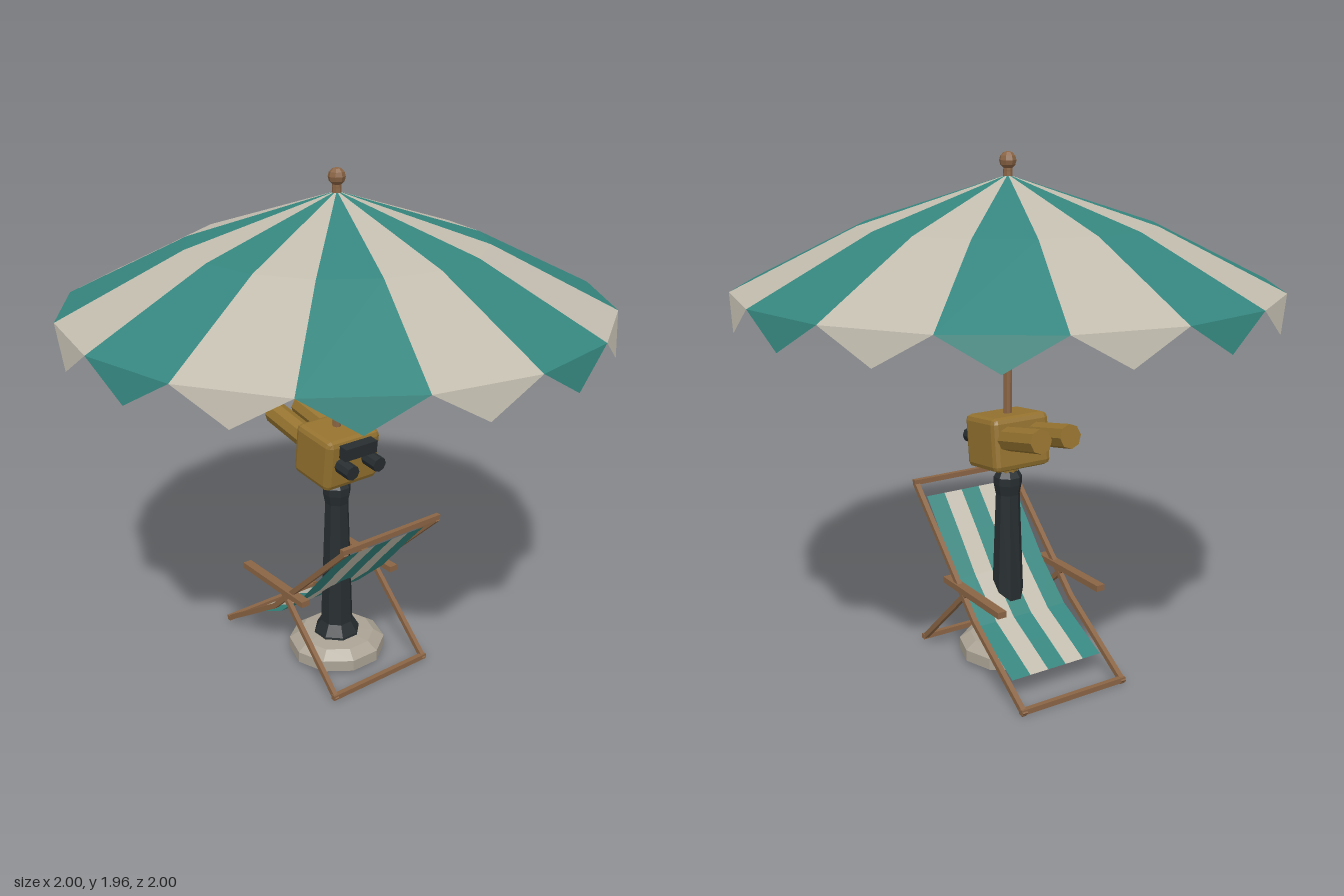
import * as THREE from 'three';
import { RoundedBoxGeometry } from 'three/addons/geometries/RoundedBoxGeometry.js';

const mat = (color, side = THREE.FrontSide) =>
  new THREE.MeshStandardMaterial({ color, side, flatShading: true });

export function createModel() {
  const root = new THREE.Group();
  const teal = mat(0x35857e, THREE.DoubleSide);
  const cream = mat(0xc2bcae, THREE.DoubleSide);
  const wood = mat(0x8a6444);
  const brass = mat(0x94722f);
  const iron = mat(0x272d30, THREE.DoubleSide);
  const stone = mat(0xaaa294, THREE.DoubleSide);

  const group = (name, parent = root) => {
    const g = new THREE.Group();
    g.name = name;
    parent.add(g);
    return g;
  };
  const add = (parent, name, geometry, material, x = 0, y = 0, z = 0) => {
    const m = new THREE.Mesh(geometry, material);
    m.name = name;
    m.position.set(x, y, z);
    parent.add(m);
    return m;
  };
  const lathe = (pts, sides, turn = 0) =>
    new THREE.LatheGeometry(pts.map(p => new THREE.Vector2(...p)), sides, turn);
  // Box beam running from point a to point b
  const beam = (parent, name, a, b, w, h) => {
    const p = new THREE.Vector3(...a), q = new THREE.Vector3(...b);
    const m = add(parent, name, new THREE.BoxGeometry(w, h, p.distanceTo(q)), wood);
    m.position.copy(p).add(q).multiplyScalar(0.5);
    m.lookAt(q);
  };
  const triangles = points => {
    const g = new THREE.BufferGeometry();
    g.setAttribute('position', new THREE.Float32BufferAttribute(points.flat(), 3));
    g.computeVertexNormals();
    return g;
  };

  // Parasol: striped panels with a pointed valance
  const parasol = group('parasol');
  const SIDES = 16, step = Math.PI * 2 / SIDES;
  const at = (k, r, y) => [r * Math.cos(k * step), y, r * Math.sin(k * step)];
  [['creamPanels', cream], ['tealPanels', teal]].forEach(([name, material], first) => {
    const pts = [];
    for (let i = first; i < SIDES; i += 2) {
      const apex = [0, 1.885, 0];
      const a = at(i, 0.545, 1.71), b = at(i + 1, 0.545, 1.71);
      const c = at(i, 1, 1.487), d = at(i + 1, 1, 1.487);
      const tip = at(i + 0.5, 1, 1.375);
      pts.push(apex, b, a, a, b, d, a, d, c, c, d, tip);
    }
    add(parasol, name, triangles(pts), material);
  });
  add(parasol, 'pole', new THREE.CylinderGeometry(0.017, 0.017, 1.86, 8), wood, 0, 0.97, 0);
  add(parasol, 'finialCollar', new THREE.CylinderGeometry(0.016, 0.018, 0.05, 8), wood, 0, 1.895, 0);
  add(parasol, 'finial', new THREE.SphereGeometry(0.032, 8, 6), wood, 0, 1.935, 0);

  // Pedestal: stone foot and flared iron column
  const pedestal = group('pedestal');
  add(pedestal, 'foot', lathe([[0.16, 0.02], [0.193, 0.02], [0.193, 0.065], [0.15, 0.095], [0.05, 0.105]], 10, Math.PI / 10), stone);
  add(pedestal, 'footRecess', lathe([[0, 0.07], [0.1, 0.07], [0.16, 0.02]], 10, Math.PI / 10), iron);
  add(pedestal, 'column', lathe([[0.095, 0.09], [0.092, 0.11], [0.066, 0.155], [0.047, 0.68],
    [0.055, 0.72], [0.055, 0.75], [0.04, 0.775], [0, 0.775]], 8, Math.PI / 8), iron);
  add(pedestal, 'neck', new THREE.CylinderGeometry(0.045, 0.038, 0.06, 8), brass, 0, 0.785, 0);

  // Viewer head, tipped back so the barrels point upward
  const viewer = group('viewer');
  viewer.position.set(0, 0.897, 0);
  viewer.rotation.x = 0.11;
  add(viewer, 'housing', new RoundedBoxGeometry(0.25, 0.205, 0.212, 1, 0.022), brass);
  add(viewer, 'eyeShade', new THREE.BoxGeometry(0.15, 0.05, 0.045), iron, 0, 0.063, 0.122);
  for (const s of [-1, 1]) {
    const eye = add(viewer, 'eyepiece', new THREE.CylinderGeometry(0.03, 0.03, 0.09, 8), iron, s * 0.064, 0.004, 0.135);
    eye.rotation.x = Math.PI / 2;
    const barrel = add(viewer, 'barrel', new THREE.CylinderGeometry(0.046, 0.046, 0.27, 8), brass, s * 0.064, 0.03, -0.19);
    barrel.rotation.x = Math.PI / 2 + 0.08;
  }

  // Deck chair: bent side rails, crossed rear legs, arms and cross bars
  const chair = group('deckChair');
  const X = 0.223;
  for (const s of [-1, 1]) {
    const x = s * X;
    beam(chair, 'backRail', [x, 0.667, 0.333], [x, 0.235, -0.118], 0.02, 0.02);
    beam(chair, 'seatRail', [x, 0.24, -0.112], [x, 0.014, -0.46], 0.02, 0.02);
    beam(chair, 'rearLeg', [x, 0.014, 0.283], [x, 0.34, -0.065], 0.018, 0.02);
    beam(chair, 'armrest', [x, 0.343, 0.09], [x, 0.343, -0.31], 0.036, 0.024);
  }
  for (const [name, y, z] of [['topBar', 0.673, 0.328], ['frontBar', 0.022, -0.45], ['rearBar', 0.022, 0.276]])
    beam(chair, name, [-X - 0.012, y, z], [X + 0.012, y, z], 0.02, 0.02);

  // Sagging canvas sling in five stripes
  const sling = [[0.62, 0.285], [0.485, 0.165], [0.35, 0.05], [0.21, -0.105], [0.155, -0.215], [0.09, -0.342]];
  for (let i = 0; i < 5; i++) {
    const l = -0.2 + i * 0.08, r = l + 0.08, pts = [];
    for (let k = 0; k + 1 < sling.length; k++) {
      const [y0, z0] = sling[k], [y1, z1] = sling[k + 1];
      pts.push([l, y0, z0], [r, y0, z0], [r, y1, z1], [l, y0, z0], [r, y1, z1], [l, y1, z1]);
    }
    add(chair, 'canvasStripe', triangles(pts), i % 2 ? cream : teal);
  }
  return root;
}
